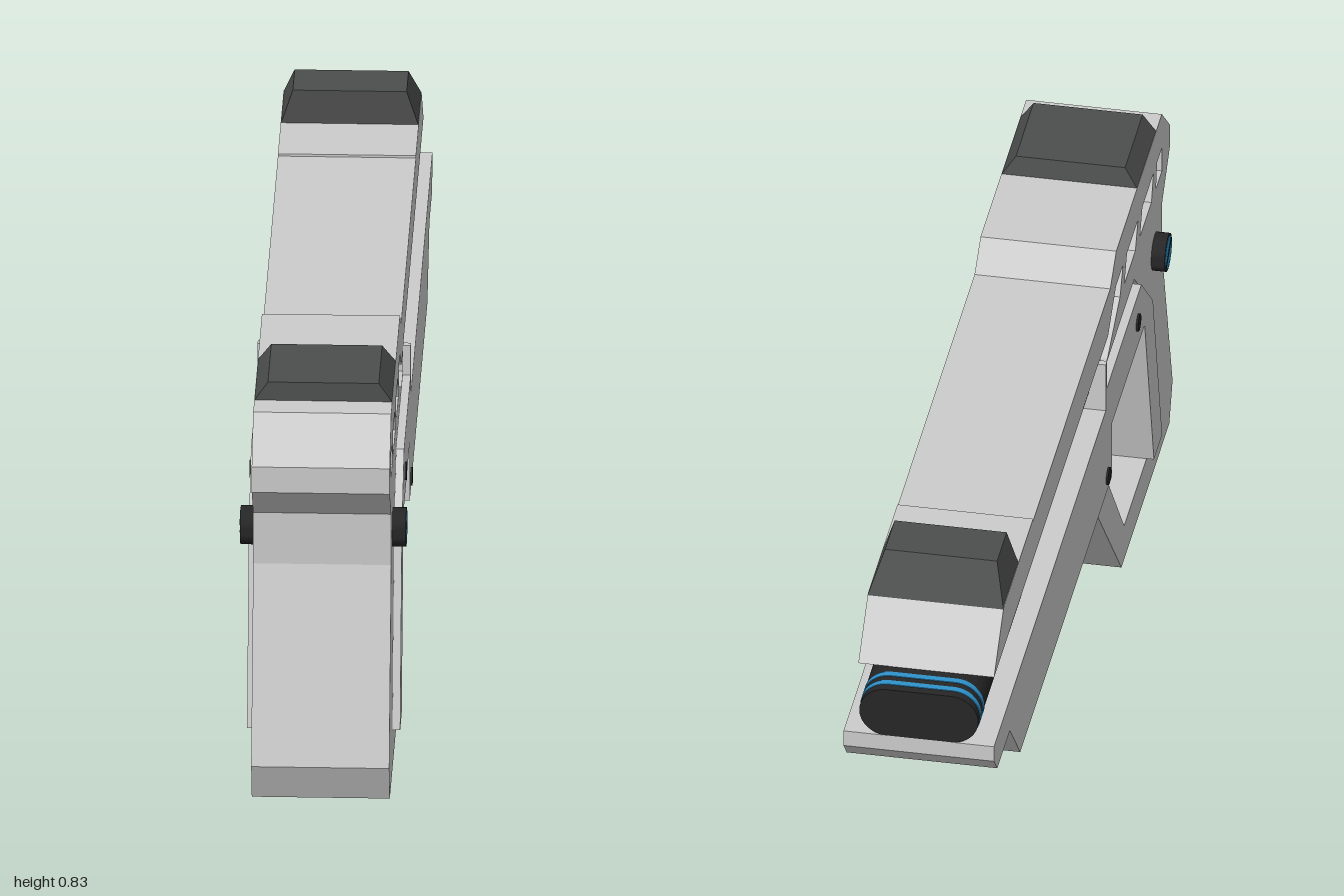
import * as THREE from 'three';
import { toCreasedNormals } from 'three/addons/utils/BufferGeometryUtils.js';

const paint = (color, flatShading = true) => {
  const m = new THREE.MeshStandardMaterial({ flatShading });
  m.color.set(color);
  return m;
};

const path2 = (pts) => pts.map(([a, b]) => new THREE.Vector2(a, b));

// Side profile given as (z, y), extruded symmetrically across x
function slab(profile, halfWidth, holes = []) {
  const shape = new THREE.Shape(path2(profile));
  holes.forEach((h) => shape.holes.push(new THREE.Path(path2(h))));
  const g = new THREE.ExtrudeGeometry(shape, { depth: halfWidth * 2, bevelEnabled: false });
  return g.translate(0, 0, -halfWidth).rotateY(-Math.PI / 2);
}

// Stadium cross-section (flat top and bottom, round sides) running along z
function stadium(halfWidth, r, y, z0, z1) {
  const s = new THREE.Shape();
  const c = halfWidth - r;
  s.absarc(c, y, r, -Math.PI / 2, Math.PI / 2, false);
  s.absarc(-c, y, r, Math.PI / 2, Math.PI * 1.5, false);
  const g = new THREE.ExtrudeGeometry(s, { depth: z1 - z0, bevelEnabled: false, curveSegments: 16 });
  return toCreasedNormals(g.translate(0, 0, z0), 0.5);
}

// Block with a smaller top: base and top are [halfWidth, zMin, zMax, y]
function taperedBlock(base, top) {
  const g = new THREE.BoxGeometry(2, 2, 2);
  const p = g.attributes.position;
  for (let i = 0; i < p.count; i++) {
    const [w, z0, z1, y] = p.getY(i) > 0 ? top : base;
    p.setXYZ(i, p.getX(i) * w, y, p.getZ(i) > 0 ? z1 : z0);
  }
  g.computeVertexNormals();
  return g;
}

export function createModel() {
  const group = new THREE.Group();
  const grey = paint(0xcccccc);
  const blue = paint(0x2f93cc);
  const dark = paint(0x2b2b2b);
  const darkSmooth = paint(0x262626, false);
  const sightGrey = paint(0x4c4e4d);
  const add = (name, geometry, material, parent = group) => {
    const m = new THREE.Mesh(geometry, material);
    m.name = name;
    parent.add(m);
    return m;
  };

  // Upper shell, grip back, grip base and guard in one outline, with side windows
  const windows = [
    [[0.886, 0.715], [0.833, 0.715], [0.822, 0.66], [0.886, 0.66]],
    [[0.794, 0.715], [0.676, 0.715], [0.65, 0.66], [0.773, 0.66]],
    [[0.628, 0.715], [0.51, 0.715], [0.483, 0.66], [0.6, 0.66]],
    [[0.467, 0.715], [0.392, 0.715], [0.307, 0.653], [0.224, 0.653],
      [0.224, 0.603], [0.3, 0.603], [0.435, 0.66]],
  ];
  add('frame', slab([
    [0.965, 0], [1, 0.08], [0.885, 0.47], [0.885, 0.58], [0.97, 0.66], [0.97, 0.715],
    [0.885, 0.797], [0.395, 0.797], [0.33, 0.75], [-0.5, 0.75], [-0.5, 0.755],
    [-0.815, 0.755], [-0.92, 0.656], [0.218, 0.656], [0.218, 0.599], [0.589, 0.599],
    [0.719, 0.473], [0.818, 0.08], [0.48, 0.08], [0.27, 0.345], [0.15, 0.345], [0.45, 0],
  ], 0.137, windows), grey);

  // Blue core behind the windows
  add('windowInlay', slab([
    [0.22, 0.6], [0.22, 0.67], [0.4, 0.74], [0.9, 0.74], [0.9, 0.65], [0.44, 0.65], [0.3, 0.6],
  ], 0.108), blue);

  // Lower body with its grip strip, slightly wider than the frame
  add('lowerBody', slab([
    [0.808, 0.08], [0.709, 0.47], [0.585, 0.591], [0.216, 0.591], [0.216, 0.655], [0.202, 0.655],
    [0.202, 0.545], [-1, 0.545], [-1, 0.51], [-0.965, 0.47], [-0.83, 0.47], [-0.718, 0.343],
    [0.27, 0.343], [0.27, 0.47], [0.62, 0.47], [0.72, 0.08],
  ], 0.152), grey);

  // Dark seam between grip strip and frame
  add('seam', slab([
    [0.83, 0.07], [0.78, 0.07], [0.69, 0.46], [0.58, 0.57], [0.24, 0.57],
    [0.24, 0.602], [0.6, 0.602], [0.73, 0.48],
  ], 0.115), dark);

  // Barrel with two blue rings near the muzzle
  add('barrel', stadium(0.12, 0.055, 0.6, -1, 0.202), darkSmooth);
  [-0.945, -0.975].forEach((z) =>
    add('barrelRing', stadium(0.1215, 0.0565, 0.6, z - 0.007, z + 0.007), blue));

  // Trigger
  add('trigger', slab([
    [0.617, 0.475], [0.547, 0.353], [0.58, 0.315], [0.663, 0.315], [0.64, 0.475],
  ], 0.085), dark);

  // Sights
  add('rearSight', taperedBlock([0.137, 0.62, 0.825, 0.796], [0.11, 0.632, 0.822, 0.835]), sightGrey);
  add('frontSight', taperedBlock([0.137, -0.82, -0.655, 0.752], [0.113, -0.76, -0.657, 0.825]), sightGrey);

  // Screws and pins on both sides
  const disc = (r, len) =>
    toCreasedNormals(new THREE.CylinderGeometry(r, r, len, 28).rotateZ(Math.PI / 2), 0.6);
  [1, -1].forEach((side) => {
    const screw = new THREE.Group();
    screw.name = side > 0 ? 'leftScrew' : 'rightScrew';
    screw.position.set(side * 0.145, 0.52, 0.808);
    add('screwRim', disc(0.039, 0.039), darkSmooth, screw);
    add('screwFace', disc(0.034, 0.0405), blue, screw);
    const slot = add('screwSlot', new THREE.BoxGeometry(0.0416, 0.01, 0.066), dark, screw);
    slot.rotation.x = -0.6;
    group.add(screw);

    [[0.545, 0.527], [0.222, 0.375]].forEach(([z, y]) =>
      add('pin', disc(0.018, 0.03), darkSmooth).position.set(side * 0.141, y, z));
  });

  return group;
}
